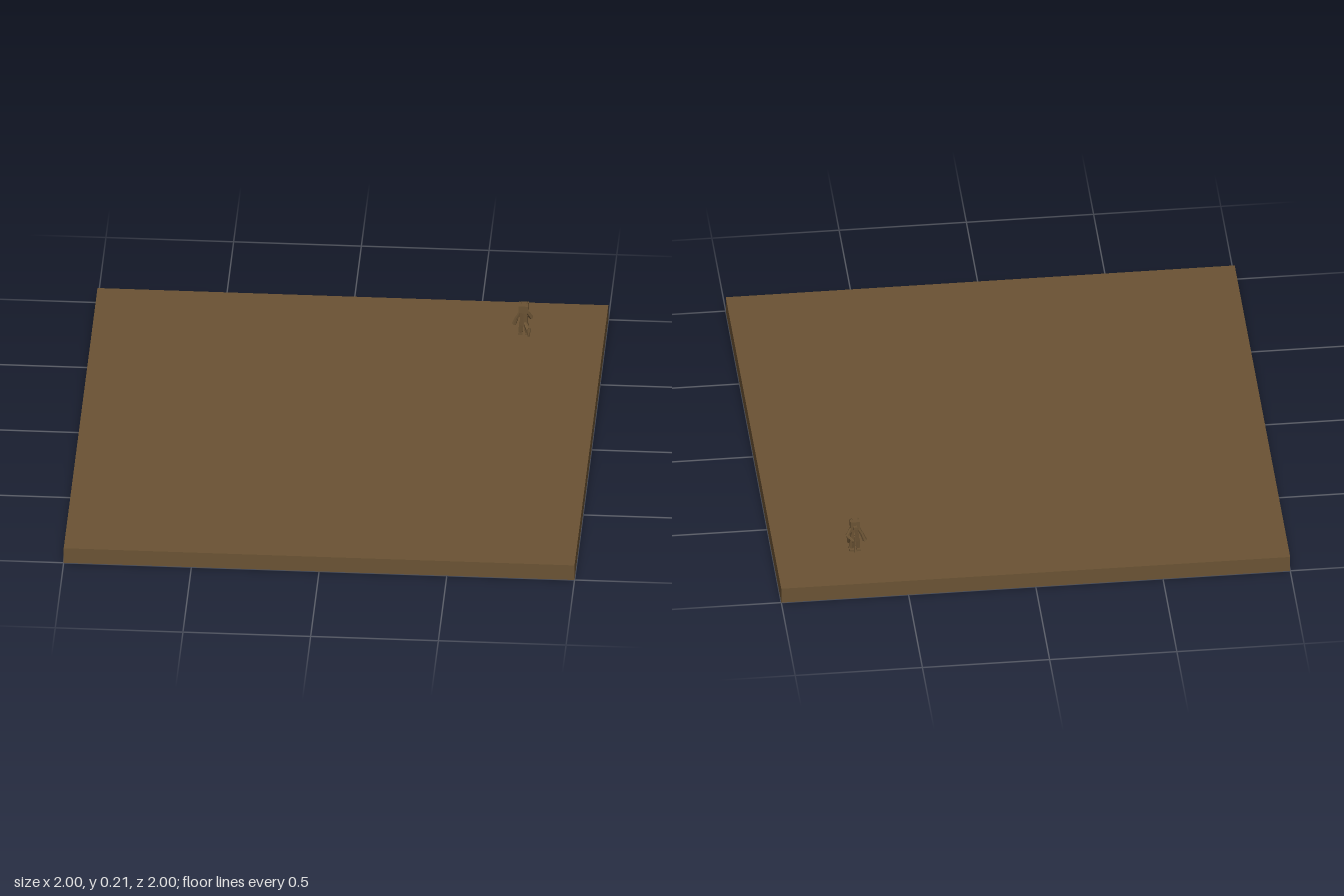
import * as THREE from 'three';

export function createModel() {
  const model = new THREE.Group();
  const earth = new THREE.MeshStandardMaterial({ color: 0x6b5334 });
  earth.name = 'earth brown';

  const add = (parent, name, geometry, x, y, z) => {
    const mesh = new THREE.Mesh(geometry, earth);
    mesh.name = name;
    mesh.position.set(x, y, z);
    parent.add(mesh);
    return mesh;
  };
  const box = (parent, name, size, pos) => add(parent, name, new THREE.BoxGeometry(...size), ...pos);

  // Tapered low-poly limb running between two points
  const limb = (parent, name, from, to, r0, r1, sides = 6) => {
    const a = new THREE.Vector3(...from), b = new THREE.Vector3(...to);
    const dir = b.clone().sub(a);
    const geometry = new THREE.CylinderGeometry(r1, r0, dir.length(), sides).toNonIndexed();
    geometry.computeVertexNormals();
    const mid = a.add(b).multiplyScalar(0.5);
    const mesh = add(parent, name, geometry, mid.x, mid.y, mid.z);
    mesh.quaternion.setFromUnitVectors(new THREE.Vector3(0, 1, 0), dir.normalize());
    return mesh;
  };

  // Square ground slab
  box(model, 'groundSlab', [2, 0.066, 2], [0, 0.033, 0]);

  // Small eared figure, facing the back edge
  const figure = new THREE.Group();
  figure.name = 'figure';
  figure.position.set(0.685, 0.066, -0.76);
  model.add(figure);

  // Legs and feet
  for (const side of [-1, 1]) {
    limb(figure, 'leg', [side * 0.013, 0.004, 0], [side * 0.009, 0.055, 0], 0.009, 0.011);
    box(figure, 'foot', [0.018, 0.008, 0.028], [side * 0.014, 0.004, -0.004]);
  }

  // Torso
  limb(figure, 'torso', [0, 0.045, 0], [0, 0.108, 0], 0.019, 0.015);

  // Head with snout and ears
  box(figure, 'head', [0.038, 0.03, 0.04], [0, 0.122, 0.004]);
  box(figure, 'snout', [0.014, 0.011, 0.014], [0, 0.115, -0.022]);
  for (const side of [-1, 1]) {
    const ear = add(figure, 'ear', new THREE.ConeGeometry(0.008, 0.014, 4), side * 0.013, 0.141, 0.002);
    ear.rotation.y = Math.PI / 4;
  }

  // Arm hanging outward, with a wide cuff
  limb(figure, 'outerArm', [-0.013, 0.1, 0], [-0.03, 0.065, -0.002], 0.007, 0.007);
  limb(figure, 'outerCuff', [-0.026, 0.076, -0.002], [-0.039, 0.042, -0.004], 0.007, 0.009);

  // Bent arm reaching forward to the staff
  limb(figure, 'upperArm', [0.014, 0.1, 0], [0.03, 0.07, -0.008], 0.007, 0.008);
  limb(figure, 'forearm', [0.03, 0.07, -0.008], [0.008, 0.064, -0.044], 0.007, 0.005);
  limb(figure, 'staff', [0.006, 0.01, -0.038], [0.006, 0.1, -0.046], 0.0022, 0.0022);
  limb(figure, 'staffCrossbar', [0.006, 0.1, -0.034], [0.006, 0.088, -0.056], 0.002, 0.002);

  // Bushy tail
  limb(figure, 'tailBase', [0.004, 0.058, 0.012], [0.018, 0.038, 0.026], 0.006, 0.011);
  limb(figure, 'tailTip', [0.018, 0.04, 0.025], [0.022, 0.008, 0.034], 0.011, 0.004);

  return model;
}
